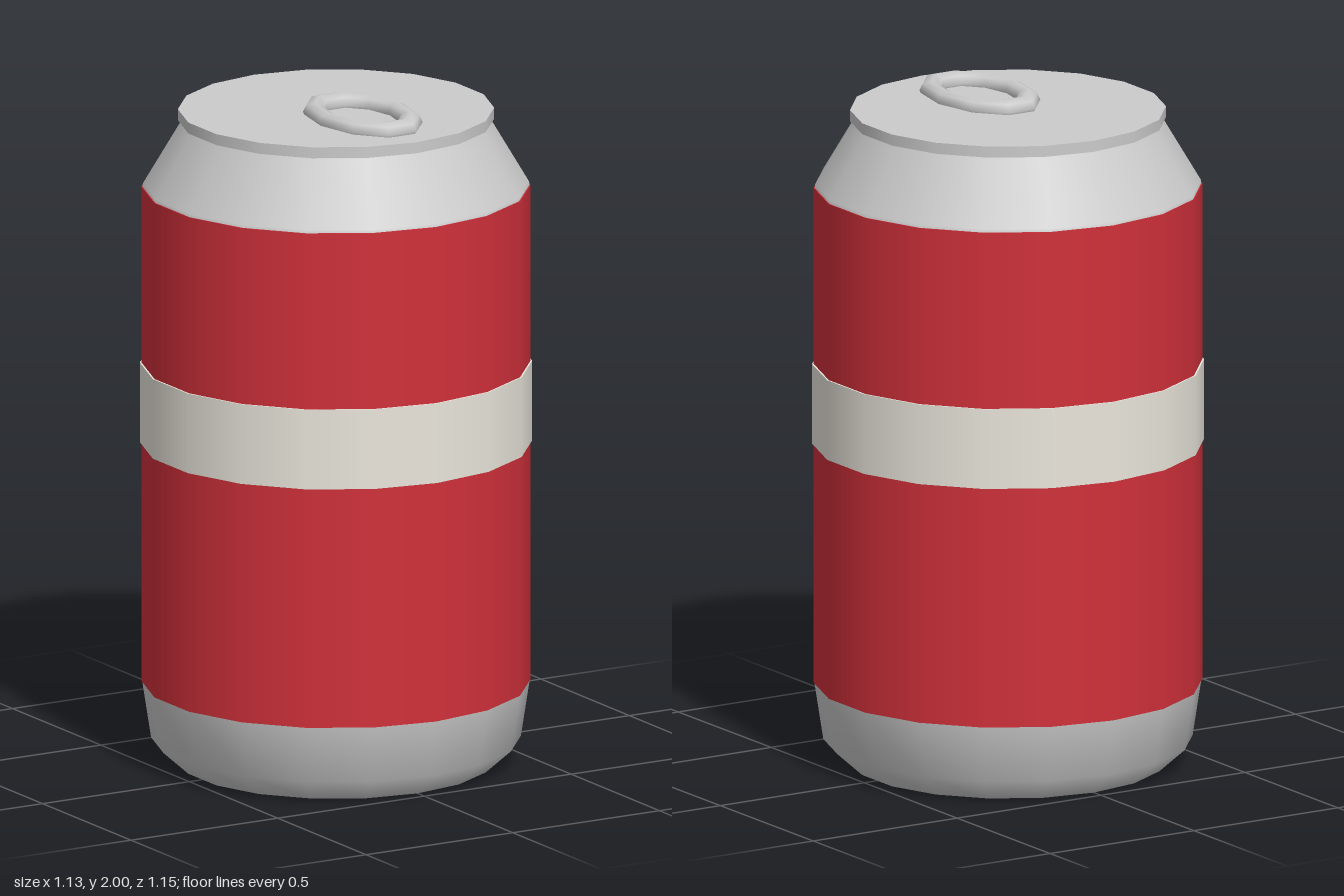
import * as THREE from 'three';

const SIDES = 18;

export function createModel() {
  const group = new THREE.Group();
  const metal = new THREE.MeshStandardMaterial({ color: 0xcccccc, side: THREE.DoubleSide });
  const red = new THREE.MeshStandardMaterial({ color: 0xd0303a });
  const cream = new THREE.MeshStandardMaterial({ color: 0xeae6dc });

  const add = (name, geometry, material, y = 0, z = 0) => {
    const mesh = new THREE.Mesh(geometry, material);
    mesh.name = name;
    mesh.position.set(0, y, z);
    group.add(mesh);
    return mesh;
  };
  const lathe = (points) =>
    new THREE.LatheGeometry(points.map(([r, y]) => new THREE.Vector2(r, y)), SIDES);
  const drum = (radius, bottom, top) =>
    new THREE.CylinderGeometry(radius, radius, top - bottom, SIDES).translate(0, (top + bottom) / 2, 0);

  // Tapered base, open underneath
  add('base', lathe([[0.462, 0], [0.54, 0.07], [0.566, 0.24]]), metal);

  // Tapered shoulder up to the lid
  add('shoulder', lathe([[0.566, 1.72], [0.564, 1.74], [0.454, 1.925], [0.454, 1.94]]), metal);

  // Coloured wall and the band around it
  add('wall', drum(0.568, 0.24, 1.73), red);
  add('band', drum(0.573, 0.96, 1.2), cream);

  // Flat lid with a small rim
  add('lid', drum(0.462, 1.93, 1.963), metal);

  // Oval pull ring
  const ring = new THREE.TorusGeometry(0.118, 0.029, 8, 10);
  ring.rotateX(Math.PI / 2).scale(1, 1, 1.635);
  add('pullRing', ring, metal, 1.971, 0.151);

  return group;
}
